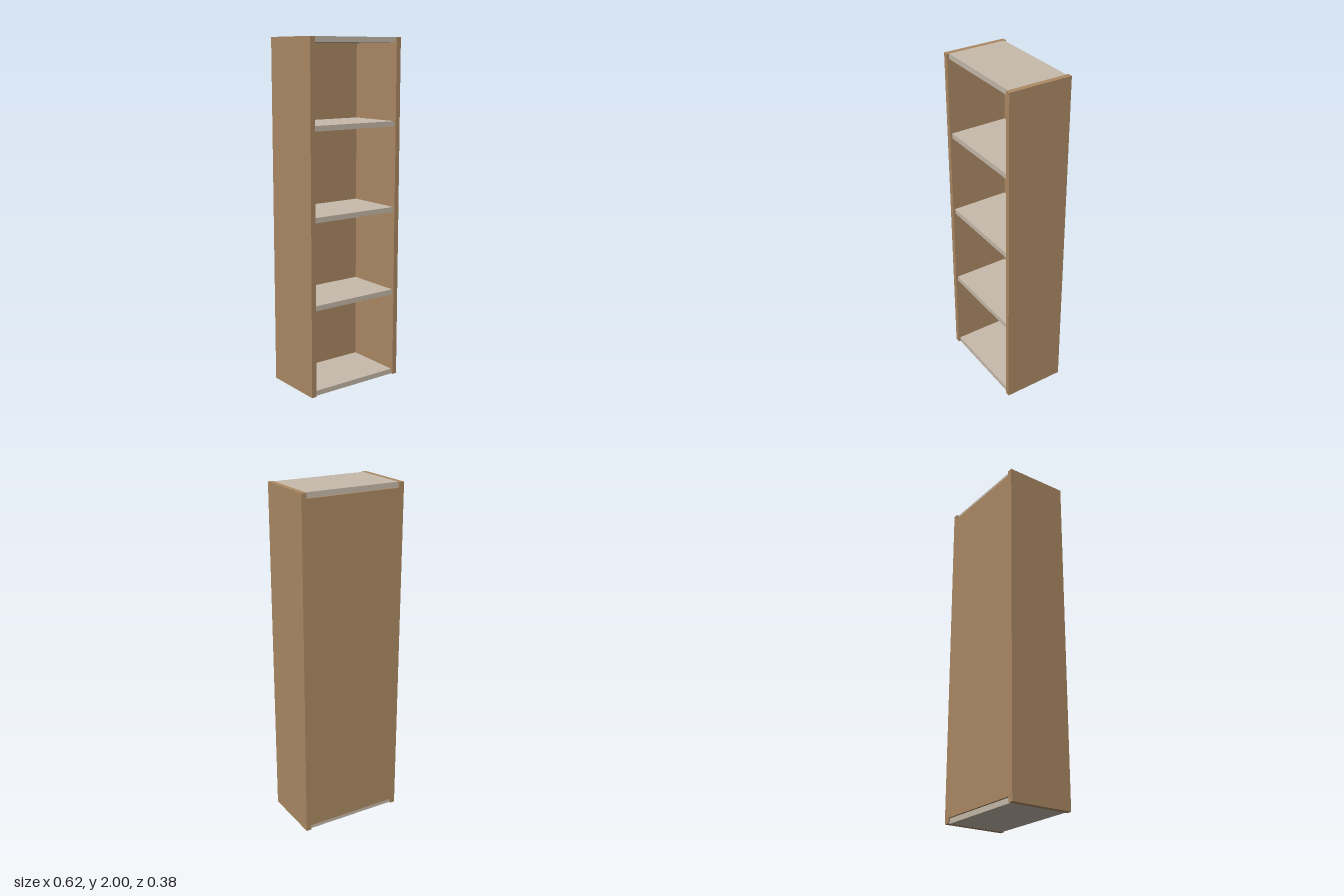
import * as THREE from 'three';

const WIDTH = 0.625, HEIGHT = 2, DEPTH = 0.375;
const BOARD = 0.03, BACK = 0.0125;

export function createModel() {
  const model = new THREE.Group();
  model.name = 'bookcase';
  const wood = new THREE.MeshStandardMaterial({ color: 0xac8a64 });
  const pale = new THREE.MeshStandardMaterial({ color: 0xc6baaa });

  const board = (name, material, w, h, d, x, y, z) => {
    const mesh = new THREE.Mesh(new THREE.BoxGeometry(w, h, d), material);
    mesh.name = name;
    mesh.position.set(x, y, z);
    model.add(mesh);
  };

  // Full-height side panels
  for (const [name, side] of [['leftPanel', 1], ['rightPanel', -1]]) {
    board(name, wood, BOARD, HEIGHT, DEPTH, side * (WIDTH - BOARD) / 2, HEIGHT / 2, 0);
  }

  // Thin back panel, stopping short of the top and bottom boards
  const inner = WIDTH - 2 * BOARD;
  board('backPanel', wood, inner, HEIGHT - 2 * BOARD, BACK, 0, HEIGHT / 2, (BACK - DEPTH) / 2);

  // Horizontal boards, set back slightly from the front edge
  const shelfDepth = DEPTH - 2 * BACK;
  const levels = { bottomBoard: 0, lowerShelf: 0.5, middleShelf: 1, upperShelf: 1.5, topBoard: HEIGHT - BOARD };
  for (const [name, y] of Object.entries(levels)) {
    board(name, pale, inner, BOARD, shelfDepth, 0, y + BOARD / 2, 0);
  }

  return model;
}
